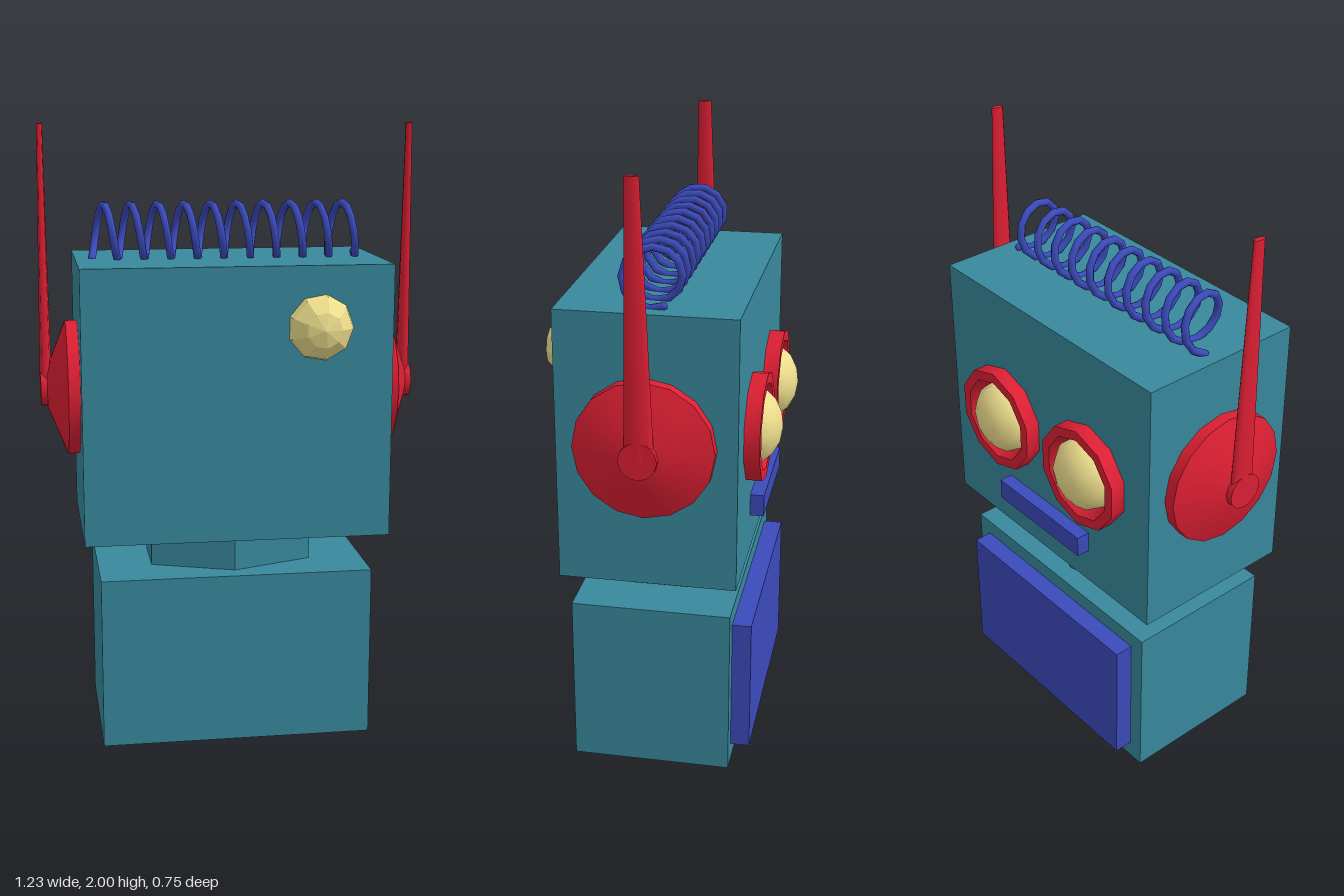
import * as THREE from 'three';
import { toCreasedNormals } from 'three/addons/utils/BufferGeometryUtils.js';

const paint = (color, flatShading = false) => new THREE.MeshStandardMaterial({ color, flatShading });

export function createModel() {
  const model = new THREE.Group();
  const teal = paint(0x38889c), red = paint(0xdc1f33), blue = paint(0x3b4abb);
  const yellow = paint(0xefdf8e), yellowFlat = paint(0xefdf8e, true);

  const add = (name, geometry, material, x = 0, y = 0, z = 0, parent = model) => {
    const mesh = new THREE.Mesh(geometry, material);
    mesh.name = name;
    mesh.position.set(x, y, z);
    parent.add(mesh);
    return mesh;
  };
  const box = (name, w, y0, y1, z0, z1, material) =>
    add(name, new THREE.BoxGeometry(w, y1 - y0, z1 - z0), material, 0, (y0 + y1) / 2, (z0 + z1) / 2);
  const lathe = (points, sides) =>
    toCreasedNormals(new THREE.LatheGeometry(points.map(p => new THREE.Vector2(...p)), sides), 0.68);

  // Body, hexagonal neck and head
  box('body', 0.885, 0, 0.565, -0.25, 0.265, teal);
  const neck = add('neck', toCreasedNormals(new THREE.CylinderGeometry(1, 1, 0.15, 6), 0.5), teal, 0, 0.628, 0.007);
  neck.scale.set(0.306, 1, 0.197);
  box('head', 0.985, 0.69, 1.57, -0.275, 0.288, teal);

  // Chest panel and mouth on the face side
  box('chestPanel', 0.78, 0.06, 0.51, -0.312, -0.24, blue);
  box('mouth', 0.41, 0.815, 0.888, -0.32, -0.26, blue);

  // Eyes: ten-sided rims with bulging lenses
  const rim = lathe([[0.177, -0.01], [0.177, 0.05], [0.143, 0.05], [0.115, 0]], 10).rotateX(-Math.PI / 2);
  const lens = new THREE.SphereGeometry(0.125, 10, 8).rotateX(-Math.PI / 2);
  for (const side of [-1, 1]) {
    add('eyeRim', rim, red, side * 0.21, 1.132, -0.275);
    add('eyeLens', lens, yellow, side * 0.206, 1.132, -0.275).scale.z = 0.8;
  }

  // Faceted bulb on the opposite face
  add('backBulb', new THREE.SphereGeometry(0.113, 9, 6).rotateX(Math.PI / 2).rotateZ(Math.PI),
    yellowFlat, 0.258, 1.375, 0.26);

  // Ears with a flat knob and tapered antenna, mirrored left and right
  const cup = lathe([[0.22, 0.47], [0.22, 0.53], [0.062, 0.592], [0, 0.592]], 16);
  const knob = toCreasedNormals(new THREE.CylinderGeometry(0.06, 0.06, 0.034, 12), 0.68);
  for (const side of [-1, 1]) {
    const ear = new THREE.Group();
    ear.name = side > 0 ? 'leftEar' : 'rightEar';
    ear.position.set(0, 1.153, 0.008);
    model.add(ear);
    add('earCup', cup, red, 0, 0, 0, ear).rotation.z = -side * Math.PI / 2;
    add('earKnob', knob, red, side * 0.596, 0, 0, ear).rotation.z = Math.PI / 2;
    const antenna = add('antenna', new THREE.CylinderGeometry(0.022, 0.046, 0.846, 8), red,
      side * 0.596, 0.423, 0.004, ear);
    antenna.scale.x = 0.42;
    antenna.rotation.x = 0.015;
  }

  // Coil spring lying along the top of the head
  const pitch = 0.0865, start = -0.437, end = 0.432, steps = 100;
  const coil = Array.from({ length: steps + 1 }, (_, i) => {
    const x = start + (end - start) * i / steps;
    const a = (x + 0.397) / pitch * Math.PI * 2;
    return new THREE.Vector3(x, 1.655 + 0.088 * Math.cos(a), 0.006 + 0.088 * Math.sin(a));
  });
  const spring = new THREE.TubeGeometry(new THREE.CatmullRomCurve3(coil), 120, 0.0125, 8);
  add('spring', spring, blue);

  // Closed ends of the spring wire
  for (const p of [coil[0], coil[steps]])
    add('springEnd', new THREE.SphereGeometry(0.0125, 8, 6), blue, p.x, p.y, p.z);

  return model;
}
